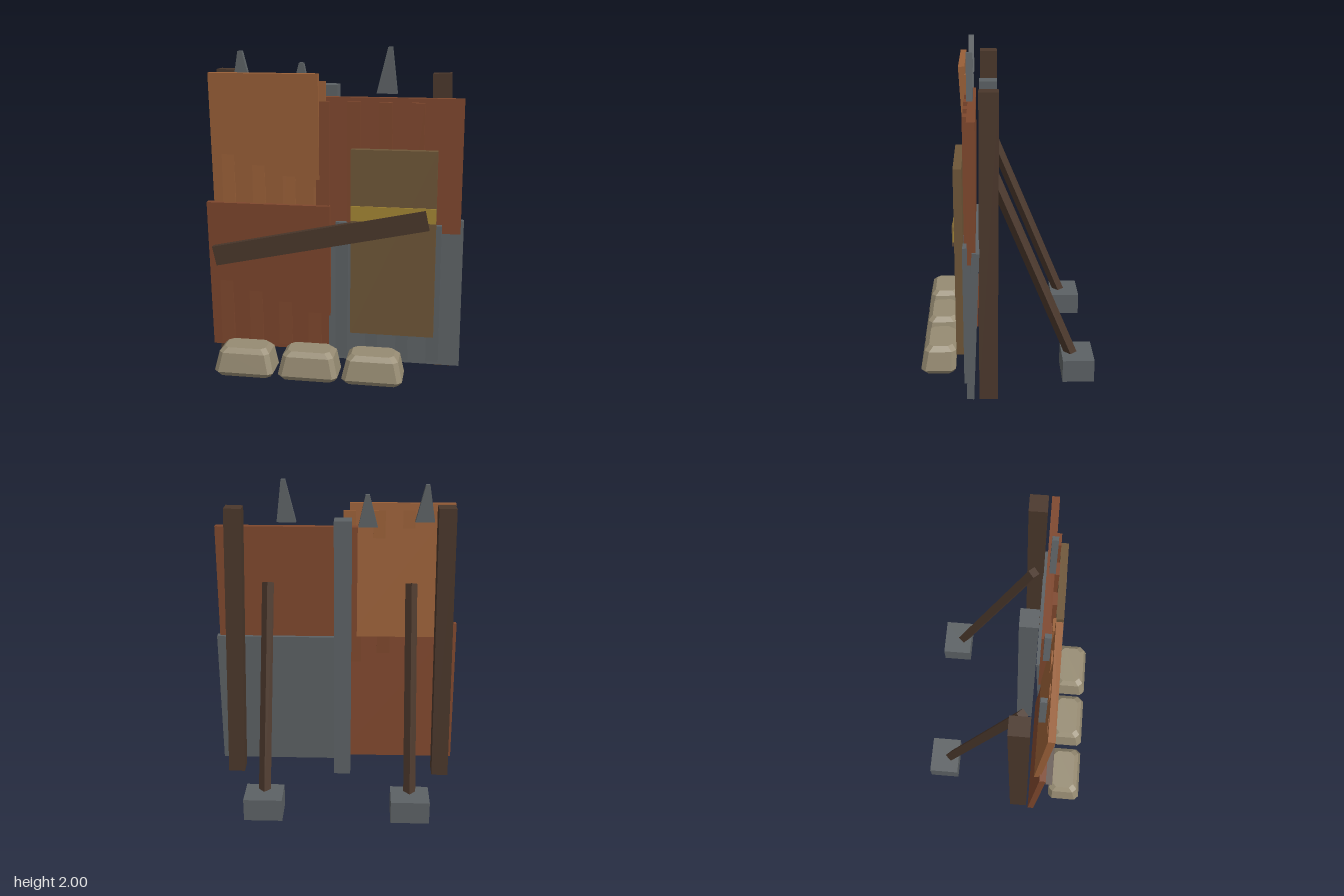
import * as THREE from 'three';

export function createModel() {
  const root = new THREE.Group();
  root.name = 'scrapBarricade';
  const mat = (name, color) => {
    const m = new THREE.MeshStandardMaterial({ color });
    m.name = name;
    return m;
  };
  const lightRust = mat('lightRust', 0x9a6038);
  const rust = mat('rust', 0x7e472d);
  const wood = mat('darkWood', 0x4a372b);
  const steel = mat('greySteel', 0x5c6164);
  const cloth = mat('sandCloth', 0x968b72);
  const olive = mat('oliveMetal', 0x6e5638);
  const yellow = mat('yellowPaint', 0xa38533);

  const add = (name, geometry, material) => {
    const m = new THREE.Mesh(geometry, material);
    m.name = name;
    root.add(m);
    return m;
  };
  // Box given by its extents, optionally turned about its centre
  const box = (name, material, [x0, x1], [y0, y1], [z0, z1], rx = 0, rz = 0) => {
    const m = add(name, new THREE.BoxGeometry(x1 - x0, y1 - y0, z1 - z0), material);
    m.position.set((x0 + x1) / 2, (y0 + y1) / 2, (z0 + z1) / 2);
    m.rotation.set(rx, 0, rz);
    return m;
  };

  // Upright posts, the outer ones leaning a little
  box('rightPost', wood, [-0.755, -0.645], [0.005, 1.855], [0.042, 0.158], -0.007, -0.016);
  box('leftPost', wood, [0.607, 0.717], [0.005, 1.845], [0.052, 0.162], -0.007, 0.027);
  box('middlePost', steel, [-0.1, 0.012], [0.005, 1.77], [0.045, 0.155]);

  // Diagonal braces standing in weight blocks
  const foot = new THREE.Vector3(0, 0.06, -0.435);
  const head = new THREE.Vector3(0, 1.36, 0.1);
  const dir = head.clone().sub(foot);
  for (const x of [-0.48, 0.435]) {
    const brace = add('brace', new THREE.CylinderGeometry(0.038, 0.038, dir.length(), 4).toNonIndexed(), wood);
    brace.geometry.computeVertexNormals();
    brace.position.copy(foot).add(head).multiplyScalar(0.5).setX(x);
    brace.rotation.x = Math.atan2(dir.z, dir.y);
    box('braceBlock', steel, [x - 0.12, x + 0.12], [0, 0.145], [-0.54, -0.345]);
  }

  // Sheet panels, tilted so that they overlap
  box('upperRightSheet', lightRust, [-0.755, -0.085], [0.96, 1.845], [0.241, 0.281], 0.055).position.z = 0.241;
  box('lowerRightSheet', rust, [-0.797, -0.02], [0.08, 1.045], [0.203, 0.243], 0.055);
  box('upperLeftSheet', rust, [-0.135, 0.775], [0.89, 1.705], [0.178, 0.225], -0.008);
  box('lowerLeftSheet', steel, [-0.03, 0.793], [0.04, 0.967], [0.178, 0.222], -0.043);

  // Upright ribs on the sheets
  for (let i = 0; i < 4; i++) {
    const x = i * 0.19;
    const back = i * 0.0035;
    box('upperRightRib', lightRust, [x - 0.692, x - 0.614], [0.99, 1.8], [0.24 - back, 0.258 - back]);
    box('lowerRightRib', rust, [x - 0.735, x - 0.65], [0.11, 1.0], [0.225 - back, 0.241 - back]);
    box('upperLeftRib', rust, [x - 0.105, x - 0.025], [0.92, 1.68], [0.215, 0.25]);
    box('lowerLeftRib', steel, [x + 0.015, x + 0.093], [0.065, 0.945], [0.21, 0.258]);
  }

  // Front plate with a painted band, and the plank across
  box('frontPlate', olive, [0.115, 0.63], [0.245, 1.405], [0.255, 0.303]);
  box('paintedBand', yellow, [0.115, 0.63], [0.97, 1.062], [0.303, 0.311]);
  box('crossPlank', wood, [-0.759, 0.595], [0.787, 0.911], [0.275, 0.317], 0, 0.21);

  // Blunt spikes along the top: base centre, tip centre, base height, tip height
  for (const [xb, xt, y0, y1] of [[-0.56, -0.57, 1.735, 1.97], [-0.2, -0.195, 1.7, 1.905], [0.318, 0.335, 1.73, 2]]) {
    const shape = new THREE.Shape([
      new THREE.Vector2(xb - 0.062, y0), new THREE.Vector2(xb + 0.062, y0),
      new THREE.Vector2(xt + 0.013, y1), new THREE.Vector2(xt - 0.013, y1),
    ]);
    const spike = add('spike', new THREE.ExtrudeGeometry(shape, { depth: 0.037, bevelEnabled: false }), steel);
    spike.position.z = 0.19;
  }

  // Sandbags: chamfered rectangular sections [y, half width, back z, front z]
  const sections = [
    [0, 0.165, 0.332, 0.515], [0.03, 0.185, 0.316, 0.535],
    [0.148, 0.158, 0.314, 0.512], [0.176, 0.13, 0.338, 0.485],
  ];
  const rings = sections.map(([y, w, b, f]) => {
    const c = 0.028;
    return [[w, b + c], [w, f - c], [w - c, f], [c - w, f], [-w, f - c], [-w, b + c], [c - w, b], [w - c, b]]
      .map(([x, z]) => [x, y, z]);
  });
  const pos = [];
  const tri = (a, b, c) => pos.push(...a, ...b, ...c);
  for (let k = 0; k < 8; k++) {
    const n = (k + 1) % 8;
    for (let r = 0; r < 3; r++) {
      tri(rings[r][k], rings[r + 1][k], rings[r + 1][n]);
      tri(rings[r][k], rings[r + 1][n], rings[r][n]);
    }
    if (k > 0 && k < 7) {
      tri(rings[0][0], rings[0][k], rings[0][n]);
      tri(rings[3][0], rings[3][n], rings[3][k]);
    }
  }
  const bag = new THREE.BufferGeometry();
  bag.setAttribute('position', new THREE.Float32BufferAttribute(pos, 3));
  bag.computeVertexNormals();
  for (const x of [-0.52, -0.12, 0.275]) add('sandbag', bag, cloth).position.x = x;

  return root;
}
